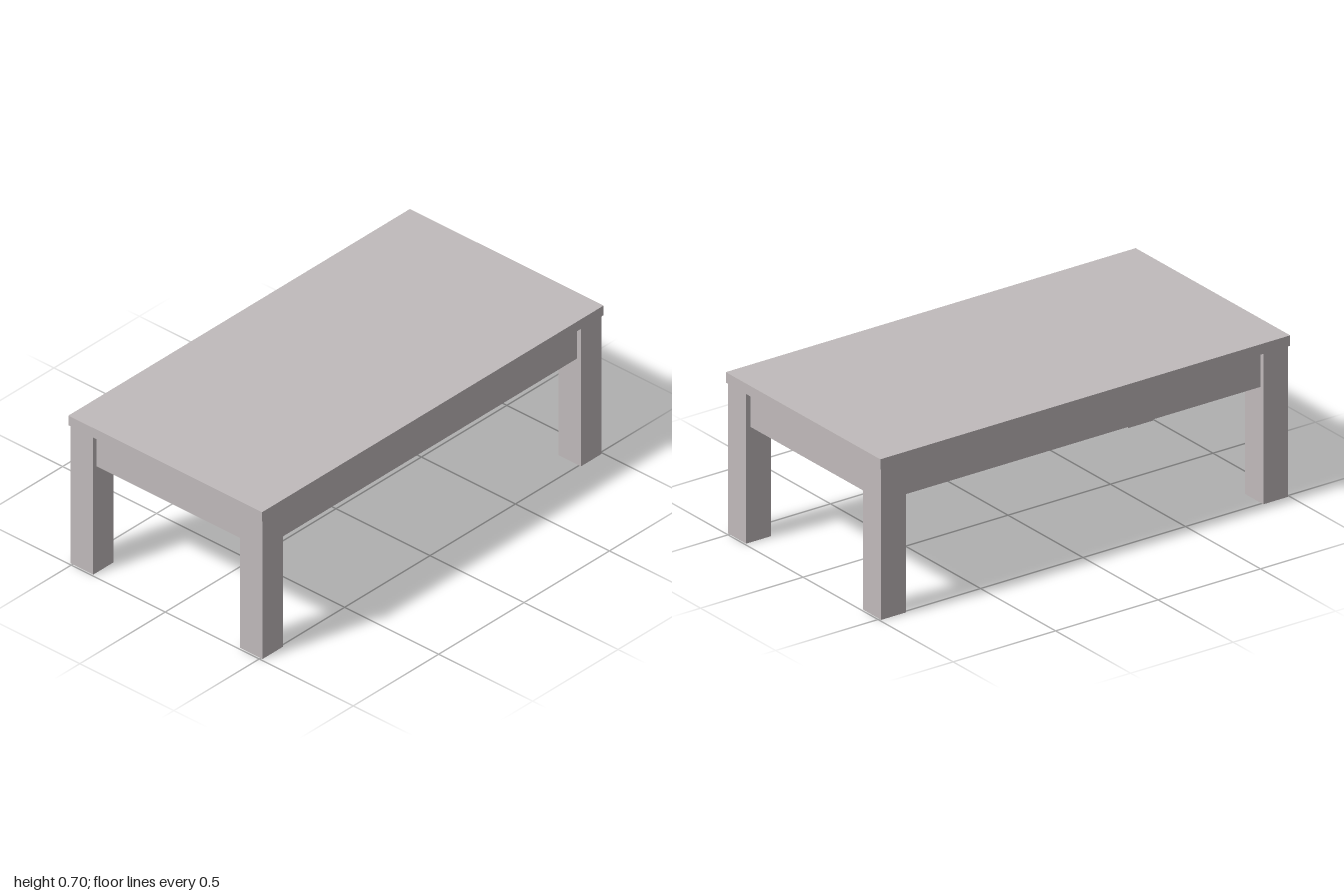
import * as THREE from 'three';

export function createModel() {
  const group = new THREE.Group();
  group.name = 'coffeeTable';
  const paint = new THREE.MeshStandardMaterial({ color: 0xc0babb });
  paint.name = 'warmGrey';

  // Box centred at x, z and spanning y0 to y1
  function box(name, width, y0, y1, depth, x, z) {
    const mesh = new THREE.Mesh(new THREE.BoxGeometry(width, y1 - y0, depth), paint);
    mesh.name = name;
    mesh.position.set(x, (y0 + y1) / 2, z);
    group.add(mesh);
  }

  const underside = 0.653, apronBottom = 0.5;
  const leg = 0.12, legX = 0.932, legZ = 0.45;
  const apron = 0.06, inset = 0.02;

  // Table top
  box('tableTop', 2, underside, 0.698, 1.03, 0, 0);

  // Square corner legs
  for (const sx of [-1, 1]) {
    for (const sz of [-1, 1]) {
      const name = (sz > 0 ? 'front' : 'back') + (sx > 0 ? 'Left' : 'Right') + 'Leg';
      box(name, leg, 0, underside, leg, sx * legX, sz * legZ);
    }
  }

  // Aprons between the legs, set slightly behind their outer faces
  const offset = leg / 2 - inset - apron / 2;
  for (const s of [-1, 1]) {
    box(s > 0 ? 'frontApron' : 'backApron', 2 * legX - leg, apronBottom, underside, apron, 0, s * (legZ + offset));
    box(s > 0 ? 'leftApron' : 'rightApron', apron, apronBottom, underside, 2 * legZ - leg, s * (legX + offset), 0);
  }

  return group;
}
